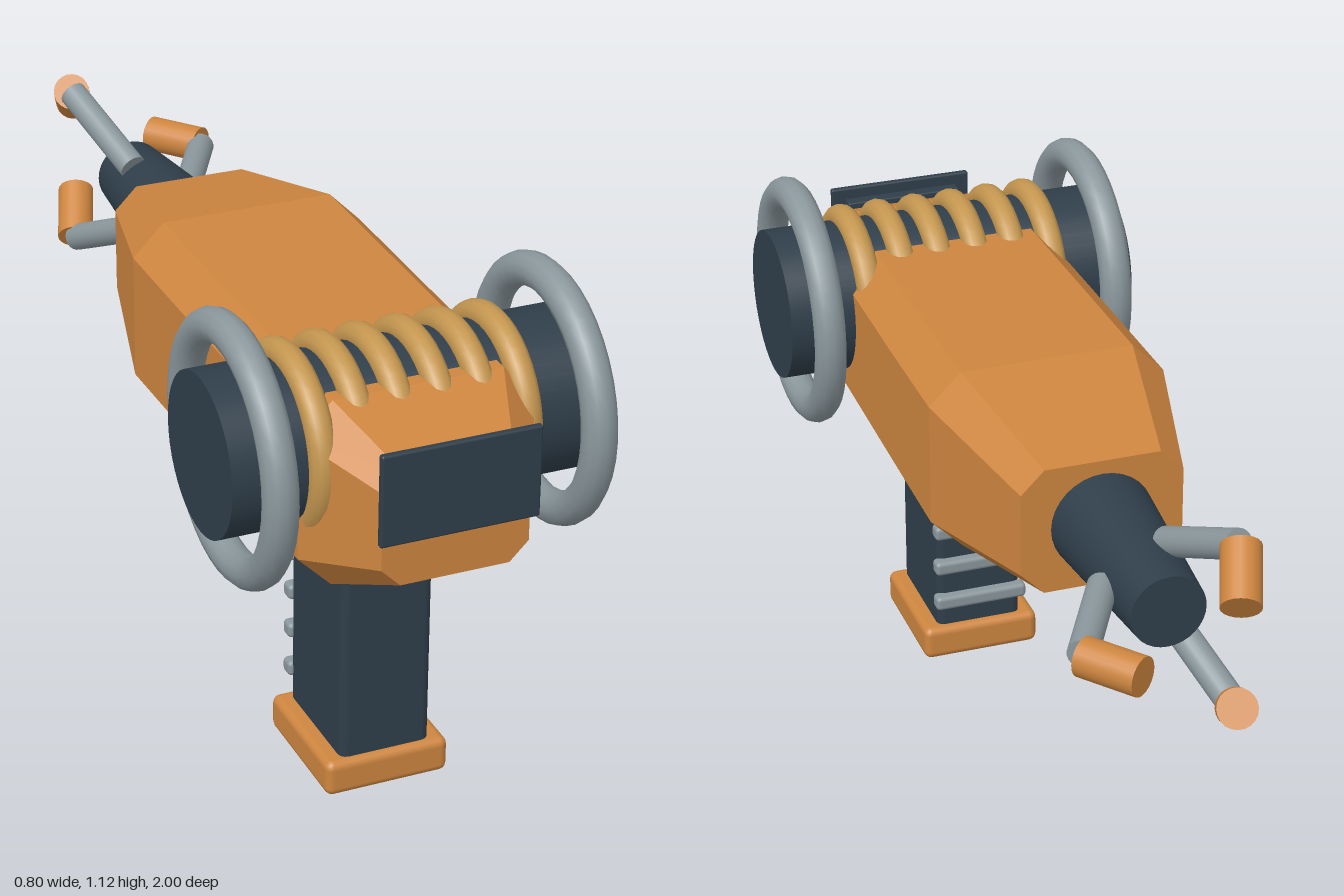
import * as THREE from 'three';
import { RoundedBoxGeometry } from 'three/addons/geometries/RoundedBoxGeometry.js';

const mat = (name, color) => Object.assign(new THREE.MeshStandardMaterial({ color }), { name });

// Chamfered octagonal loft; each section is [z, halfWidth, bottom, top, chamfer], front to back
function octagonLoft(sections) {
  const rings = sections.map(([z, w, y0, y1, c]) => [
    [w, y0 + c], [w, y1 - c], [w - c, y1], [c - w, y1],
    [-w, y1 - c], [-w, y0 + c], [c - w, y0], [w - c, y0],
  ].map(([x, y]) => [x, y, z]));
  const pos = [];
  const tri = (a, b, c) => pos.push(...a, ...b, ...c);
  for (let i = 0; i < rings.length - 1; i++) {
    const f = rings[i], b = rings[i + 1];
    for (let j = 0; j < 8; j++) {
      const k = (j + 1) % 8;
      tri(f[j], b[j], b[k]);
      tri(f[j], b[k], f[k]);
    }
  }
  const first = rings[0], last = rings[rings.length - 1];
  for (let j = 1; j < 7; j++) {
    tri(first[0], first[j], first[j + 1]);
    tri(last[0], last[j + 1], last[j]);
  }
  const geo = new THREE.BufferGeometry();
  geo.setAttribute('position', new THREE.Float32BufferAttribute(pos, 3));
  geo.computeVertexNormals();
  return geo;
}

export function createModel() {
  const orange = mat('orange', 0xcd853f);
  const dark = mat('dark slate', 0x2f3e4a);
  const tan = mat('coil tan', 0xc4964f);
  const grey = mat('steel grey', 0x8a979c);
  const root = new THREE.Group();
  root.name = 'blaster';

  const add = (name, geo, material, x = 0, y = 0, z = 0) => {
    const m = new THREE.Mesh(geo, material);
    m.name = name;
    m.position.set(x, y, z);
    root.add(m);
    return m;
  };
  const rounded = (name, material, x, y, z, r) => add(name,
    new RoundedBoxGeometry(x[1] - x[0], y[1] - y[0], z[1] - z[0], 2, r), material,
    (x[0] + x[1]) / 2, (y[0] + y[1]) / 2, (z[0] + z[1]) / 2);
  // Cylinder running from point a to point b
  const rod = (name, material, a, b, ra, rb = ra, seg = 20) => {
    const dir = b.clone().sub(a);
    const m = add(name, new THREE.CylinderGeometry(rb, ra, dir.length(), seg), material);
    m.position.copy(a).add(b).multiplyScalar(0.5);
    m.quaternion.setFromUnitVectors(new THREE.Vector3(0, 1, 0), dir.normalize());
    return m;
  };
  const V = (x, y, z) => new THREE.Vector3(x, y, z);

  // Faceted body
  add('body', octagonLoft([
    [0.98, 0.155, 0.66, 0.905, 0.04],
    [0.8, 0.25, 0.58, 0.982, 0.07],
    [0.2, 0.258, 0.58, 0.988, 0.07],
    [-0.06, 0.26, 0.578, 0.992, 0.07],
    [-0.4, 0.175, 0.64, 0.925, 0.05],
  ]), orange);

  // Front screen on its mount
  rounded('screenMount', dark, [-0.135, 0.135], [0.785, 0.93], [0.955, 0.987], 0.004);
  rounded('screen', dark, [-0.167, 0.167], [0.76, 0.956], [0.984, 1], 0.005);

  // Cross drum with coils and side rings
  const dy = 0.845, dz = 0.67;
  rod('drum', dark, V(-0.4, dy, dz), V(0.4, dy, dz), 0.168, 0.168, 40);
  const ring = (name, material, x, R, r) => {
    add(name, new THREE.TorusGeometry(R, r, 12, 40), material, x, dy, dz).rotation.y = Math.PI / 2;
  };
  for (let i = 0; i < 6; i++) ring('coil', tan, -0.216 + i * 0.0864, 0.173, 0.029);
  for (const s of [-1, 1]) ring('sideRing', grey, s * 0.334, 0.244, 0.036);

  // Handle, foot and grip ribs
  rounded('handle', dark, [-0.1, 0.1], [0.06, 0.64], [0.417, 0.683], 0.018);
  rounded('handleFoot', orange, [-0.137, 0.137], [0.003, 0.083], [0.398, 0.7], 0.018);
  for (let i = 0; i < 5; i++) {
    const y = 0.15 + i * 0.093;
    rounded('gripRib', grey, [-0.109, 0.109], [y - 0.017, y + 0.017], [0.394, 0.43], 0.01);
  }

  // Tapered nozzle
  const ny = 0.785;
  rod('nozzle', dark, V(0, ny, -0.38), V(0, ny, -0.775), 0.112, 0.079, 32);

  // Three prongs with inward-bent tips
  for (let i = 0; i < 3; i++) {
    const a = (i * Math.PI * 2) / 3;
    const at = (r, z) => V(Math.cos(a) * r, ny + Math.sin(a) * r, z);
    rod('prong', grey, at(0.088, -0.64), at(0.21, -0.865), 0.031);
    rod('prongTip', orange, at(0.212, -0.872), at(0.13, -0.978), 0.041);
  }
  return root;
}
